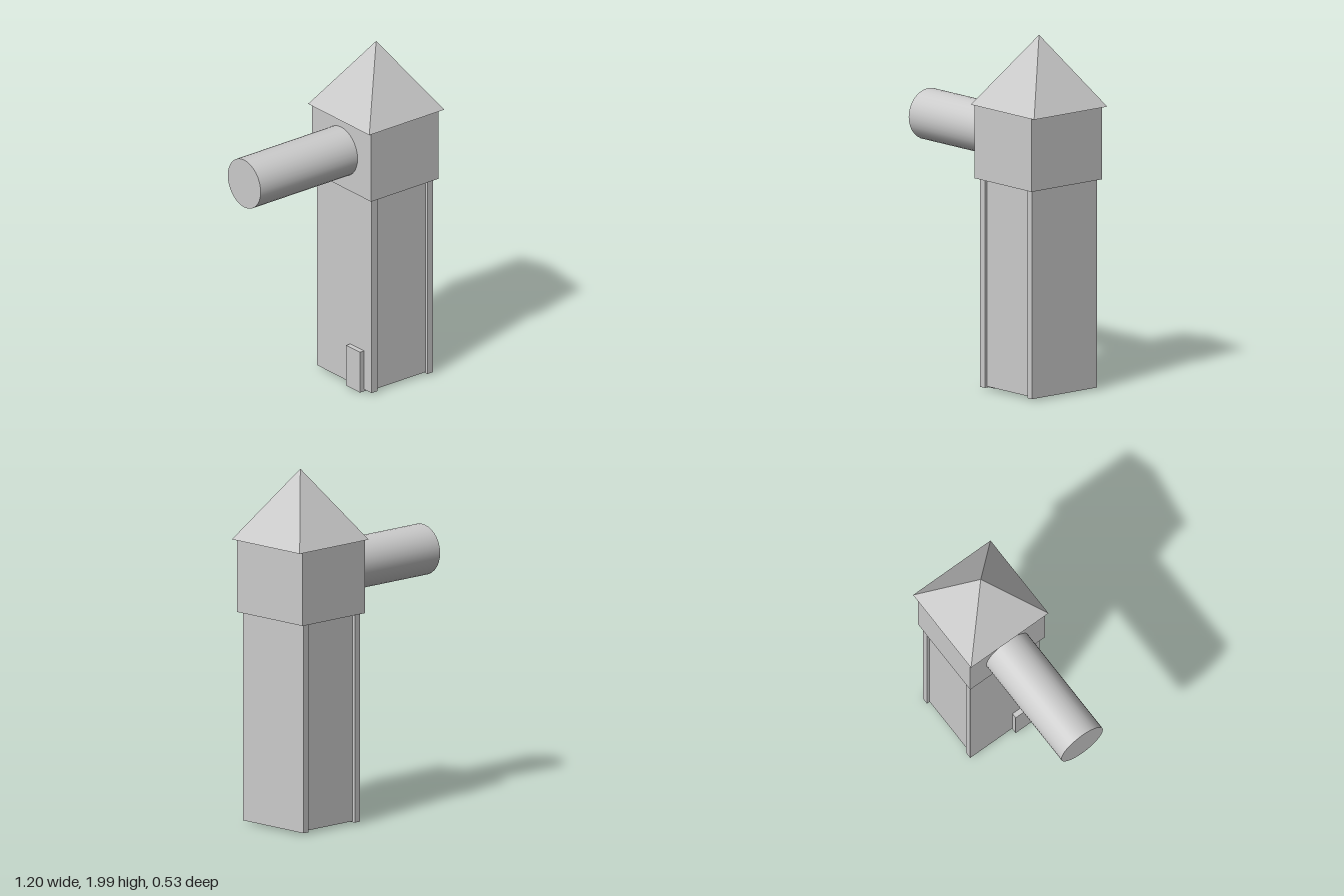
import * as THREE from 'three';

export function createModel() {
  const model = new THREE.Group();
  const flat = new THREE.MeshStandardMaterial({ color: 0xcccccc, flatShading: true });
  const smooth = new THREE.MeshStandardMaterial({ color: 0xcccccc });

  const add = (name, geometry, material = flat) => {
    const mesh = new THREE.Mesh(geometry, material);
    mesh.name = name;
    model.add(mesh);
    return mesh;
  };

  // Box given by its minimum and maximum on each axis
  const box = (name, [x0, x1], [y0, y1], [z0, z1]) => {
    const mesh = add(name, new THREE.BoxGeometry(x1 - x0, y1 - y0, z1 - z0));
    mesh.position.set((x0 + x1) / 2, (y0 + y1) / 2, (z0 + z1) / 2);
  };

  // Tower shaft: two full-depth side walls, with recessed walls between them
  const top = 1.2;
  box('rightWall', [0.11, 0.15], [0.018, top], [-0.24, 0.235]);
  box('leftWall', [0.507, 0.545], [0.018, top], [-0.24, 0.235]);
  box('frontWall', [0.15, 0.507], [0.024, top], [0.18, 0.218]);
  box('backWall', [0.15, 0.507], [0.024, top], [-0.223, -0.185]);

  // Floor set slightly up inside the walls
  box('floor', [0.15, 0.507], [0.05, 0.09], [-0.185, 0.18]);

  // Door and its threshold
  box('door', [0.08, 0.112], [0.006, 0.25], [0.05, 0.17]);
  box('doorStep', [0.08, 0.152], [0.006, 0.02], [0.05, 0.17]);

  // Upper room
  box('upperRoom', [0.088, 0.568], [1.19, 1.605], [-0.257, 0.257]);

  // Four-sided roof
  const roof = add('roof', new THREE.ConeGeometry(0.266 * Math.SQRT2, 0.398, 4).rotateY(Math.PI / 4));
  roof.position.set(0.334, 1.801, 0);

  // Horizontal barrel reaching out of the upper room
  const barrel = add('barrel', new THREE.CylinderGeometry(0.143, 0.143, 0.72, 32).rotateZ(Math.PI / 2), smooth);
  barrel.position.set(-0.24, 1.407, -0.003);

  return model;
}
